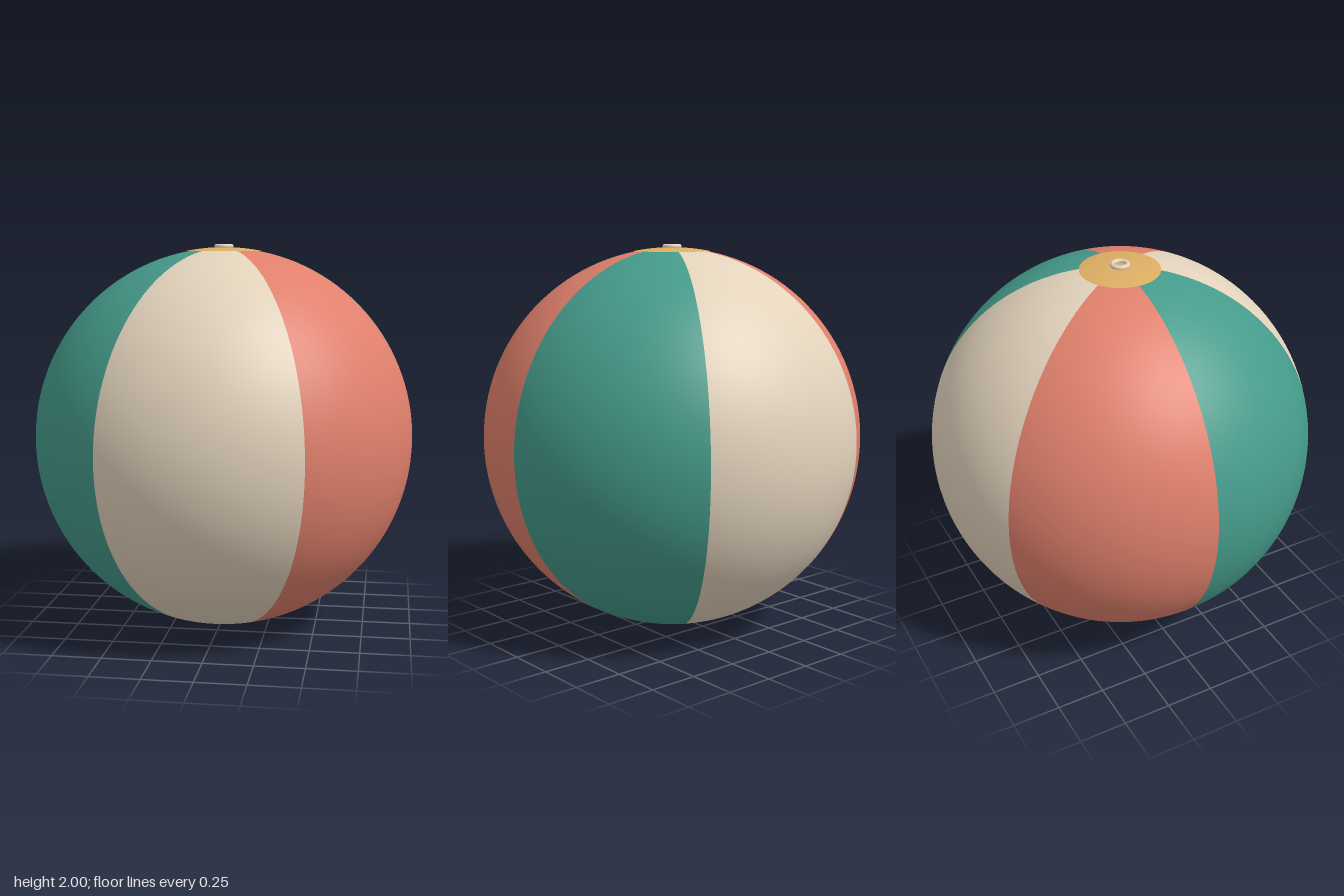
import * as THREE from 'three';

const CENTER_Y = 0.992;
const RADIUS = 0.989;
const CAP_RADIUS = 0.992;
const CAP_ANGLE = Math.asin(0.2 / CAP_RADIUS);

function material(name, color) {
  const m = new THREE.MeshStandardMaterial({ color });
  m.name = name;
  return m;
}

export function createModel() {
  const teal = material('teal', 0x459b8b);
  const cream = material('cream', 0xe3d3bc);
  const coral = material('coral', 0xe0806c);
  const gold = material('gold', 0xdcae62);

  const ball = new THREE.Group();
  ball.name = 'beachBall';

  const add = (name, geometry, mat, y = CENTER_Y) => {
    const mesh = new THREE.Mesh(geometry, mat);
    mesh.name = name;
    mesh.position.y = y;
    ball.add(mesh);
    return mesh;
  };

  // Six gores, colours repeating around the ball
  const colors = [teal, cream, coral];
  const step = Math.PI / 3;
  for (let i = 0; i < 6; i++) {
    add(`panel${i + 1}`, new THREE.SphereGeometry(RADIUS, 16, 64, i * step, step), colors[i % 3]);
  }

  // Thin round patches over both poles
  const cap = () => new THREE.SphereGeometry(CAP_RADIUS, 64, 8, 0, Math.PI * 2, 0, CAP_ANGLE);
  add('topCap', cap(), gold);
  add('bottomCap', cap(), cream).rotation.x = Math.PI;

  // Inflation valve ring
  const ring = new THREE.TorusGeometry(0.038, 0.012, 12, 40);
  ring.rotateX(Math.PI / 2);
  add('valveRing', ring, cream, 1.988);

  return ball;
}
